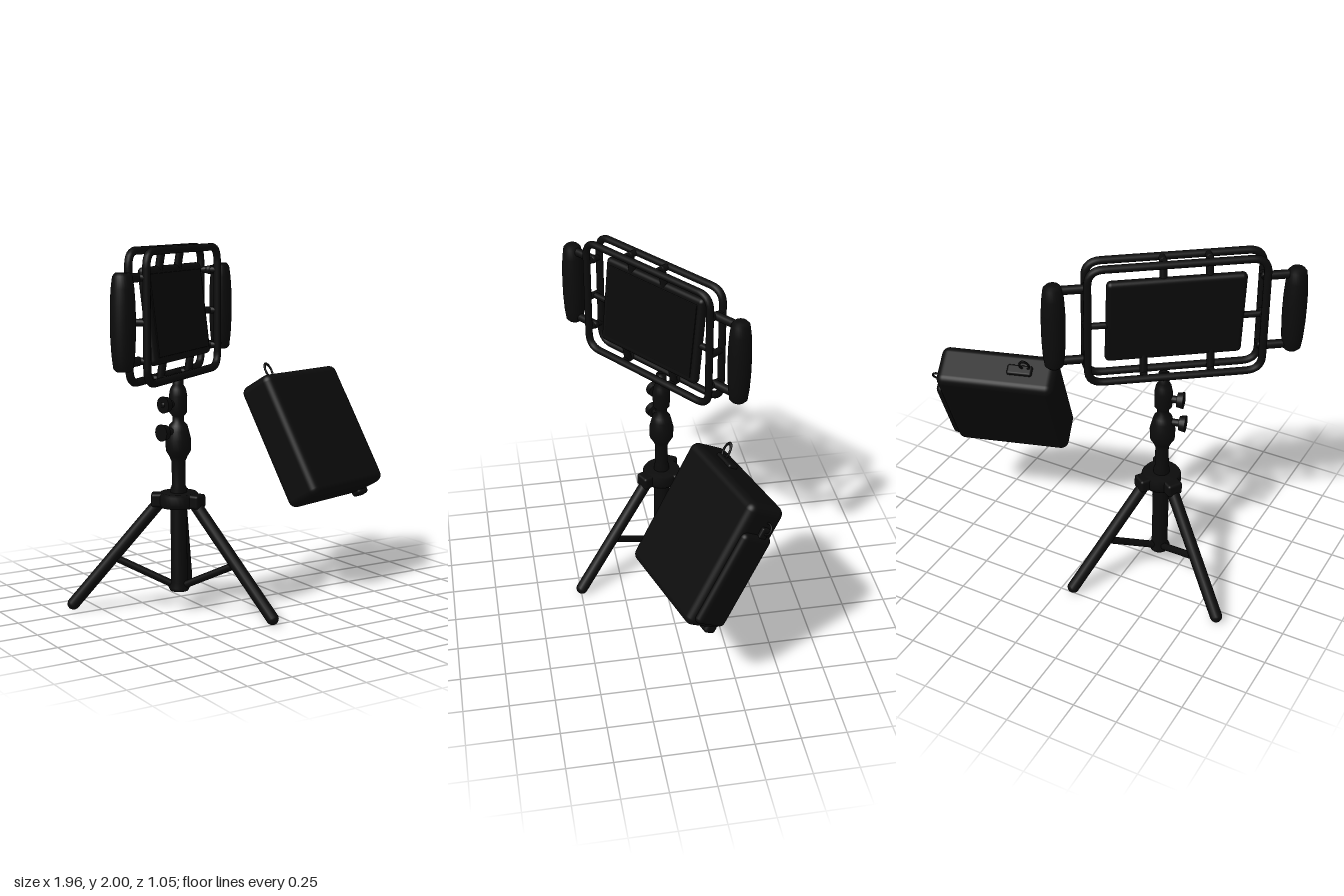
import * as THREE from 'three';
import { RoundedBoxGeometry } from 'three/addons/geometries/RoundedBoxGeometry.js';

const V = (x, y, z) => new THREE.Vector3(x, y, z);

export function createModel() {
  const black = new THREE.MeshStandardMaterial({ color: 0x0c0c0c });
  black.name = 'matte black';
  const darkBlack = new THREE.MeshStandardMaterial({ color: 0x090909 });
  darkBlack.name = 'deep black';

  const add = (parent, name, geometry, material = black) => {
    const mesh = new THREE.Mesh(geometry, material);
    mesh.name = name;
    parent.add(mesh);
    return mesh;
  };
  // Round-ended rod between two points
  const rod = (parent, name, a, b, r) => {
    const mesh = add(parent, name, new THREE.CapsuleGeometry(r, a.distanceTo(b), 5, 16));
    mesh.position.copy(a).lerp(b, 0.5);
    mesh.quaternion.setFromUnitVectors(V(0, 1, 0), b.clone().sub(a).normalize());
    return mesh;
  };
  const lathe = (parent, name, profile) =>
    add(parent, name, new THREE.LatheGeometry(profile.map(p => new THREE.Vector2(...p)), 28));

  const model = new THREE.Group();
  model.name = 'lightStandAndBag';

  // Tripod
  const tripod = new THREE.Group();
  tripod.name = 'tripod';
  tripod.position.set(-0.385, 0, -0.03);
  model.add(tripod);
  lathe(tripod, 'centreColumn', [
    [0, 0.11], [0.05, 0.11], [0.06, 0.13], [0.045, 0.16], [0.045, 0.68], [0.037, 0.7], [0.037, 0.83],
    [0.05, 0.86], [0.068, 0.89], [0.07, 0.95], [0.058, 1.0], [0.05, 1.03], [0.032, 1.05], [0.032, 1.08],
    [0.048, 1.1], [0.05, 1.19], [0.042, 1.23], [0.03, 1.25], [0.03, 1.31], [0, 1.31]]);
  lathe(tripod, 'hub', [[0, 0.58], [0.1, 0.58], [0.11, 0.6], [0.11, 0.645], [0.1, 0.66], [0, 0.66]]);
  for (const [x, z] of [[-0.5, -0.3], [0.31, -0.46], [0.27, 0.525]]) {
    const d = V(x, 0, z).normalize();
    const top = d.clone().multiplyScalar(0.1).setY(0.61);
    const foot = V(x, 0.035, z);
    rod(tripod, 'leg', top, foot, 0.034);
    rod(tripod, 'legBrace', d.clone().multiplyScalar(0.03).setY(0.14), top.clone().lerp(foot, 0.54), 0.02);
    const bracket = add(tripod, 'hubBracket', new RoundedBoxGeometry(0.1, 0.075, 0.09, 3, 0.015));
    bracket.position.copy(d).multiplyScalar(0.1).setY(0.62);
    bracket.rotation.y = Math.atan2(-z, x);
  }

  // Clamp knobs
  for (const y of [1.0, 1.15]) {
    const out = V(-0.97, 0, 0.24);
    rod(tripod, 'knobStem', V(0, y, 0), out.clone().multiplyScalar(0.1).setY(y), 0.02);
    const knob = add(tripod, 'knob', new THREE.CylinderGeometry(0.046, 0.04, 0.035, 20));
    knob.position.copy(out).multiplyScalar(y > 1.1 ? 0.095 : 0.11).setY(y);
    knob.quaternion.setFromUnitVectors(V(0, 1, 0), out.normalize());
  }

  // Light head, turned on the stand
  const head = new THREE.Group();
  head.name = 'lightHead';
  head.position.set(-0.42, 1.645, 0.01);
  head.rotation.y = 0.639;
  model.add(head);

  // Two parallel rounded frames
  const w = 0.465, h = 0.335, r = 0.085, depth = 0.05;
  const corners = [[1, 1], [-1, 1], [-1, -1], [1, -1]];
  const outline = new THREE.CurvePath();
  corners.forEach(([sx, sy], i) => {
    const c = V(sx * w, sy * h, 0);
    const alongX = V(sx * (w - r), sy * h, 0), alongY = V(sx * w, sy * (h - r), 0);
    const [a, b] = i % 2 ? [alongX, alongY] : [alongY, alongX];
    outline.add(new THREE.QuadraticBezierCurve3(a, c, b));
    const [nx, ny] = corners[(i + 1) % 4];
    outline.add(new THREE.LineCurve3(b, i % 2 ? V(nx * w, ny * (h - r), 0) : V(nx * (w - r), ny * h, 0)));
  });
  for (const z of [-depth, depth]) {
    add(head, 'frame', new THREE.TubeGeometry(outline, 160, 0.021, 10, true)).position.z = z;
  }

  // Struts carrying the panel
  const bridge = (x, y) => rod(head, 'frameBridge', V(x, y, -depth), V(x, y, depth), 0.019);
  for (const [x, s] of [[-0.17, 1], [0.07, 1], [-0.2, -1], [0.16, -1]]) {
    bridge(x, s * h);
    rod(head, 'panelStrut', V(x, s * h, 0), V(x, s * 0.22, -s * 0.02), 0.021);
  }

  // Side handles, mirrored
  for (const s of [-1, 1]) {
    bridge(s * w, -0.02);
    rod(head, 'panelStrut', V(s * w, -0.02, 0), V(s * 0.35, -0.02, 0), 0.018);
    for (const y of [-0.215, 0.205]) {
      bridge(s * w, y);
      rod(head, 'handleArm', V(s * w, y, 0), V(s * 0.61, y, 0), 0.024);
    }
    const grip = lathe(head, 'handleGrip', [
      [0, -0.25], [0.035, -0.25], [0.05, -0.235], [0.058, -0.17], [0.063, -0.08], [0.064, 0],
      [0.063, 0.08], [0.058, 0.16], [0.05, 0.22], [0.035, 0.237], [0, 0.237]]);
    grip.position.x = s * 0.635;
  }

  // Lamp panel, leaning slightly back
  const panel = new THREE.Group();
  panel.name = 'lampPanel';
  panel.rotation.x = -0.12;
  head.add(panel);
  add(panel, 'panelBody', new RoundedBoxGeometry(0.73, 0.505, 0.055, 4, 0.026));
  add(panel, 'panelFace', new RoundedBoxGeometry(0.66, 0.43, 0.008, 2, 0.003), darkBlack).position.z = 0.028;

  // Carry bag, tilted in space
  const bag = new THREE.Group();
  bag.name = 'carryBag';
  bag.position.set(0.56, 0.885, -0.108);
  bag.quaternion.setFromRotationMatrix(new THREE.Matrix4().makeBasis(
    V(0.954, 0, -0.3), V(-0.15, 0.866, -0.476), V(0.26, 0.5, 0.826)));
  model.add(bag);
  add(bag, 'bagBody', new RoundedBoxGeometry(0.66, 0.755, 0.235, 5, 0.045));
  const pocket = add(bag, 'sidePocket', new RoundedBoxGeometry(0.08, 0.56, 0.19, 4, 0.03));
  pocket.position.set(0.32, -0.06, -0.005);
  const corner = add(bag, 'cornerTab', new RoundedBoxGeometry(0.09, 0.06, 0.07, 3, 0.02));
  corner.position.set(0.28, -0.375, -0.06);

  // Strap anchors and rings
  const patch = add(bag, 'strapAnchor', new RoundedBoxGeometry(0.14, 0.03, 0.06, 3, 0.012));
  patch.position.set(-0.13, 0.38, 0);
  const ring = add(bag, 'strapRing', new THREE.TorusGeometry(0.026, 0.006, 8, 20));
  ring.scale.y = 1.7;
  ring.position.set(-0.16, 0.425, 0.01);
  const sideRing = add(bag, 'strapRing', new THREE.TorusGeometry(0.03, 0.006, 8, 20));
  sideRing.position.set(0.345, 0.27, -0.03);
  const sideTab = add(bag, 'strapAnchor', new RoundedBoxGeometry(0.03, 0.1, 0.05, 3, 0.01));
  sideTab.position.set(0.335, 0.22, -0.03);

  return model;
}
